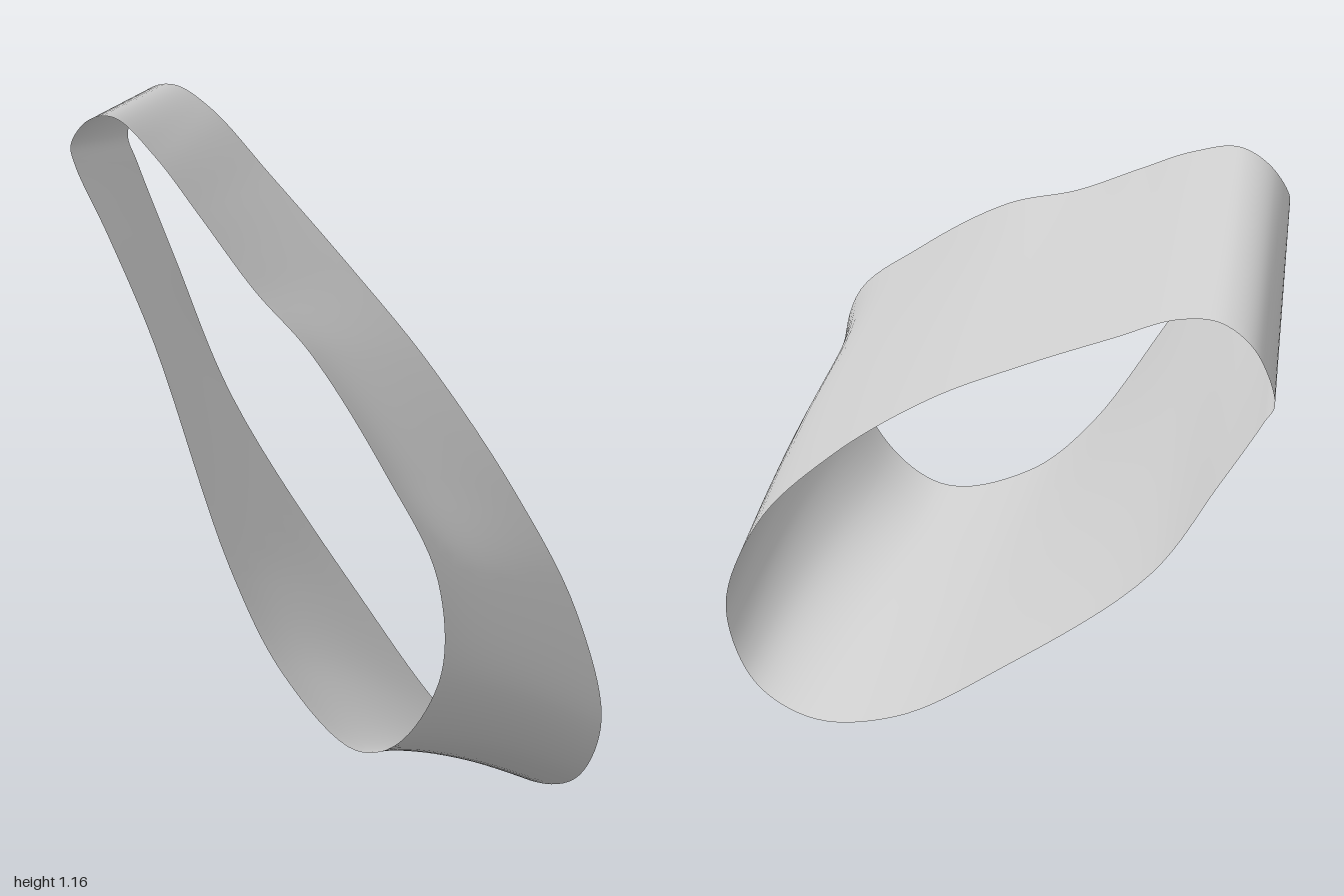
import * as THREE from 'three';

// Rim outlines as [z, y], matched point for point: front, over the top, back, underside
const rightRim = [
  [0.63, 0.17], [0.525, 0.348], [0.3, 0.522], [0, 0.69], [-0.27, 0.805], [-0.54, 0.91], [-0.74, 0.985], [-0.87, 1.0],
  [-0.96, 0.96], [-1, 0.872], [-0.965, 0.83], [-0.82, 0.68], [-0.61, 0.472], [-0.155, 0.202], [0.165, 0.047],
  [0.42, 0], [0.575, 0.05],
];
const leftRim = [
  [1, 0.46], [0.93, 0.61], [0.7, 0.755], [0.405, 0.9], [0.19, 0.968], [-0.02, 1.053], [-0.19, 1.12], [-0.34, 1.157],
  [-0.42, 1.13], [-0.45, 1.08], [-0.425, 1.05], [-0.28, 0.955], [-0.07, 0.805], [0.3, 0.485], [0.53, 0.343],
  [0.8, 0.267], [0.93, 0.32],
];

// Each rim lies in a tilted plane, x = x0 + slope * y
function rimCurve(points, x0, slope) {
  return new THREE.CatmullRomCurve3(
    points.map(([z, y]) => new THREE.Vector3(x0 + slope * y, y, z)), true, 'centripetal');
}

// Open band stretched between the two closed rims
function bandGeometry(from, to, around, across) {
  const positions = [], index = [];
  for (let j = 0; j <= across; j++) {
    const t = j / across;
    for (let i = 0; i < around; i++) {
      const u = i / around;
      const p = from.getPoint(u).lerp(to.getPoint(u), t);
      // slight hollows: along the lower edge, and in the front bend near the left rim
      p.y += 0.02 * Math.sin(Math.PI * t) * Math.max(0, Math.cos(2 * Math.PI * (u - 15 / 17)));
      p.z -= 0.025 * Math.sin(Math.PI * t ** 3) * Math.max(0, Math.cos(2 * Math.PI * u));
      positions.push(p.x, p.y, p.z);
    }
  }
  for (let j = 0; j < across; j++) {
    for (let i = 0; i < around; i++) {
      const n = (i + 1) % around;
      const a = j * around + i, b = j * around + n;
      const c = a + around, d = b + around;
      index.push(a, b, c, b, d, c);
    }
  }
  const geometry = new THREE.BufferGeometry();
  geometry.setAttribute('position', new THREE.Float32BufferAttribute(positions, 3));
  geometry.setIndex(index);
  geometry.computeVertexNormals();
  return geometry;
}

export function createModel() {
  const group = new THREE.Group();
  group.name = 'loopBand';
  const material = new THREE.MeshStandardMaterial({ color: 0xcccccc, side: THREE.DoubleSide });
  const band = new THREE.Mesh(
    bandGeometry(rimCurve(rightRim, 0.28, 0.087), rimCurve(leftRim, -0.442, 0.27), 136, 16), material);
  band.name = 'band';
  group.add(band);
  return group;
}
